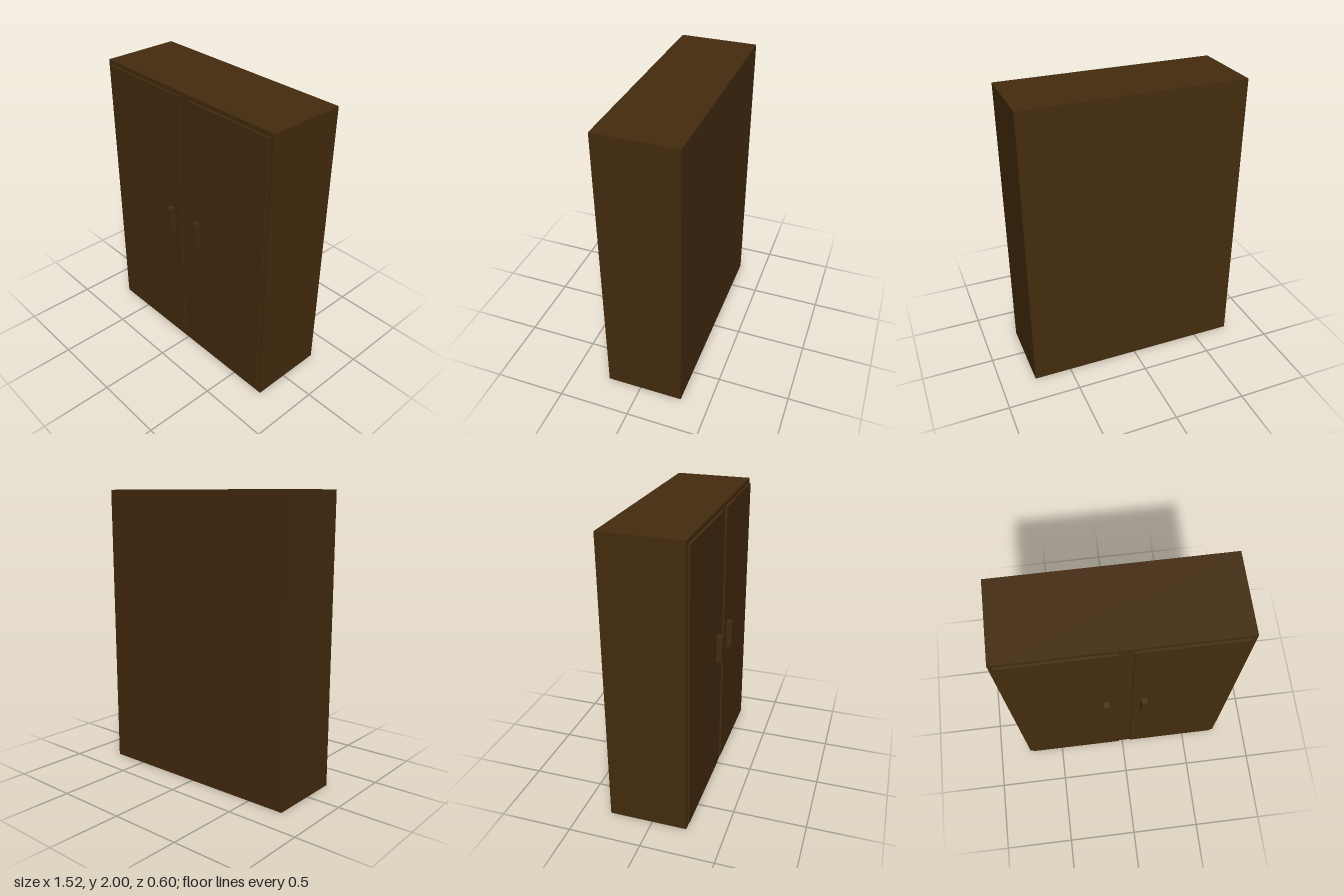
import * as THREE from 'three';

const wood = new THREE.MeshStandardMaterial({ color: 0x442b0e, side: THREE.DoubleSide });
wood.name = 'dark wood';

const BACK = -0.3, FRONT = 0.24, DOOR = 0.255, GRIP = 0.295;
// rectangles as [x0, x1, y0, y1]
const BODY = [-0.763, 0.76, 0, 2];
const DOORS = [
  { side: 'right', door: [-0.735, -0.03, 0.035, 1.97], handle: [-0.135, -0.094, 0.94, 1.135] },
  { side: 'left', door: [0.062, 0.73, 0.035, 1.97], handle: [0.121, 0.162, 0.94, 1.135] },
];

// Box side numbers: 0 +x, 1 -x, 2 top, 3 bottom, 4 front, 5 back
function shell([x0, x1, y0, y1], z0, z1, open) {
  const g = new THREE.BoxGeometry(x1 - x0, y1 - y0, z1 - z0);
  g.translate((x0 + x1) / 2, (y0 + y1) / 2, (z0 + z1) / 2);
  const index = Array.from(g.index.array);
  g.setIndex(index.filter((_, i) => !open.includes(Math.floor(i / 6))));
  g.clearGroups();
  return g;
}

function trace(path, [x0, x1, y0, y1]) {
  path.moveTo(x0, y0).lineTo(x1, y0).lineTo(x1, y1).lineTo(x0, y1).closePath();
  return path;
}

// Flat front sheet with rectangular openings
function sheet(rect, holes, z) {
  const shape = trace(new THREE.Shape(), rect);
  shape.holes = holes.map((h) => trace(new THREE.Path(), h));
  return new THREE.ShapeGeometry(shape).translate(0, 0, z);
}

function part(parent, name, geometry) {
  const mesh = new THREE.Mesh(geometry, wood);
  mesh.name = name;
  parent.add(mesh);
}

export function createModel() {
  const model = new THREE.Group();
  model.name = 'wardrobe';

  // Hollow carcass, open underneath, with a framed front
  part(model, 'carcass', shell(BODY, BACK, FRONT, [3, 4]));
  part(model, 'frontFrame', sheet(BODY, DOORS.map((d) => d.door), FRONT));

  // Raised doors, open to the inside, each with a block handle
  for (const { side, door, handle } of DOORS) {
    const group = new THREE.Group();
    group.name = `${side}Door`;
    part(group, `${side}DoorEdge`, shell(door, FRONT, DOOR, [4, 5]));
    part(group, `${side}DoorPanel`, sheet(door, [handle], DOOR));
    part(group, `${side}Handle`, shell(handle, DOOR, GRIP, [5]));
    model.add(group);
  }
  return model;
}
